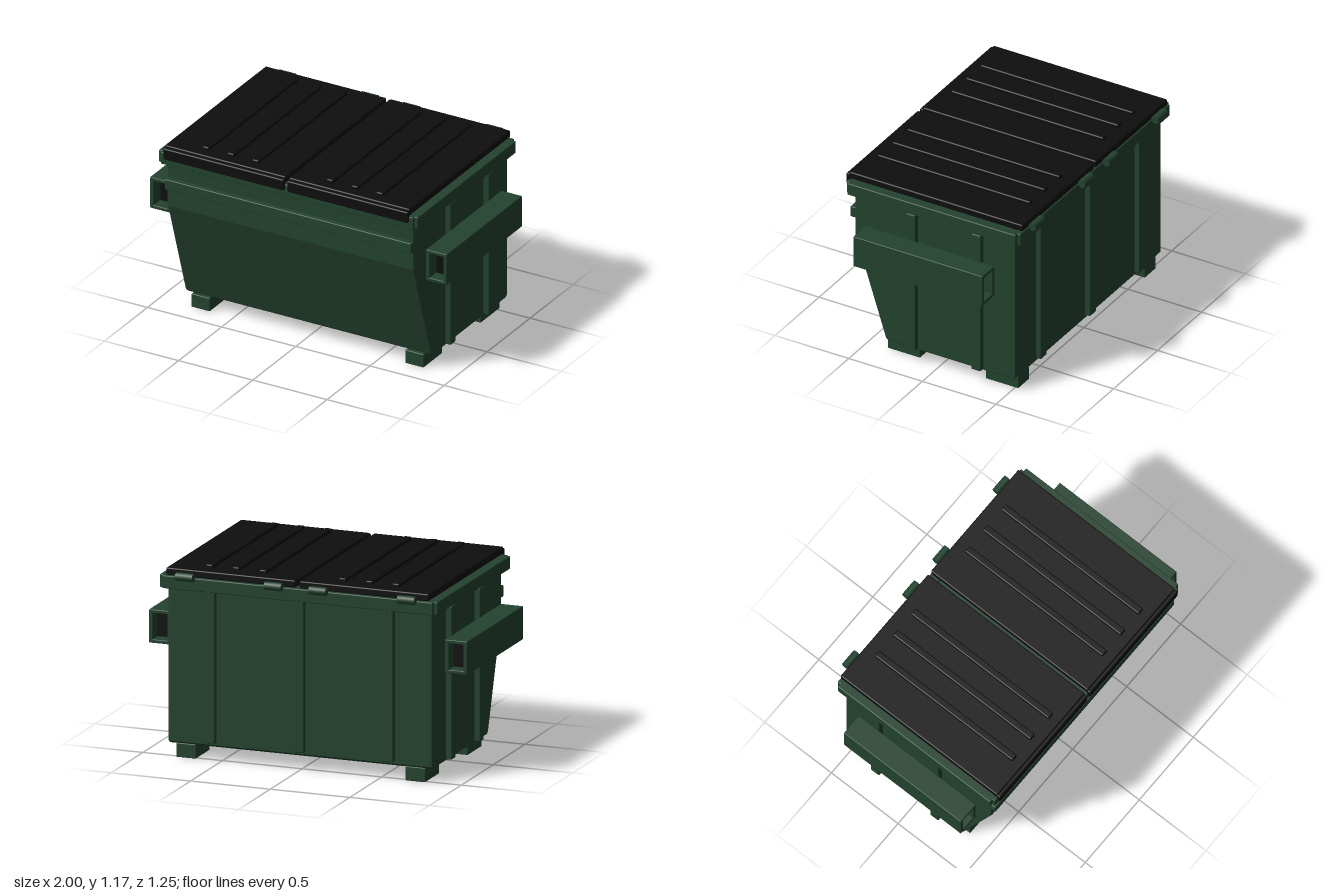
import * as THREE from 'three';
import { RoundedBoxGeometry } from 'three/addons/geometries/RoundedBoxGeometry.js';

export function createModel() {
  const green = new THREE.MeshStandardMaterial({ color: 0x23432f });
  green.name = 'green painted steel';
  const black = new THREE.MeshStandardMaterial({ color: 0x0e0e0e });
  black.name = 'black plastic';

  const model = new THREE.Group();
  model.name = 'wasteContainer';

  const add = (name, geometry, material, parent = model) => {
    const mesh = new THREE.Mesh(geometry, material);
    mesh.name = name;
    parent.add(mesh);
    return mesh;
  };
  // softly edged box given by its limits on each axis
  const box = (name, [x0, x1], [y0, y1], [z0, z1], material = green, radius = 0.006, parent = model) => {
    const geometry = new RoundedBoxGeometry(x1 - x0, y1 - y0, z1 - z0, 2, radius);
    geometry.translate((x0 + x1) / 2, (y0 + y1) / 2, (z0 + z1) / 2);
    return add(name, geometry, material, parent);
  };
  // limits on x, mirrored for the right-hand side
  const span = (side, a, b) => (side > 0 ? [a, b] : [-b, -a]);

  // body: side profile (z, y) with sloping front, extruded across x
  const profile = new THREE.Shape([
    [-0.53, 1.08], [-0.53, 0.1], [-0.515, 0.087], [0.335, 0.087],
    [0.352, 0.1], [0.56, 0.74], [0.56, 1.08],
  ].map(([z, y]) => new THREE.Vector2(z, y)));
  const bevel = 0.01;
  const bodyGeometry = new THREE.ExtrudeGeometry(profile, {
    depth: 1.66 - 2 * bevel, bevelThickness: bevel, bevelSize: bevel,
    bevelOffset: -bevel, bevelSegments: 2,
  });
  bodyGeometry.translate(0, 0, -0.83 + bevel);
  bodyGeometry.rotateY(-Math.PI / 2);
  add('body', bodyGeometry, green);

  // front reinforcing band
  box('frontBand', [-0.83, 0.83], [0.857, 0.926], [0.55, 0.592]);

  // rim bars around the top
  box('frontRim', [-0.85, 0.85], [1.028, 1.106], [0.54, 0.605]);
  box('backRim', [-0.85, 0.85], [1.028, 1.106], [-0.576, -0.51]);

  // upright ribs on the back wall
  for (const x of [-0.56, 0, 0.56]) {
    box('backRib', [x - 0.035, x + 0.035], [0.115, 1.03], [-0.563, -0.52]);
  }

  for (const s of [1, -1]) {
    box('sideRim', span(s, 0.81, 0.873), [1.028, 1.106], [-0.556, 0.587]);

    // upright ribs on the side walls
    for (const z of [0.161, -0.283]) {
      box('sideRib', span(s, 0.82, 0.866), [0.096, 1.021], [z - 0.031, z + 0.031]);
    }

    // feet
    for (const z of [[0.145, 0.365], [-0.522, -0.301]]) {
      box('foot', span(s, 0.658, 0.783), [0.003, 0.09], z);
    }

    // hollow fork pocket with a dark core set back from both ends
    const pocket = new THREE.Group();
    pocket.name = 'forkPocket';
    model.add(pocket);
    const length = [-0.407, 0.471];
    box('pocketTop', span(s, 0.86, 1), [0.823, 0.845], length, green, 0.005, pocket);
    box('pocketBottom', span(s, 0.86, 1), [0.643, 0.665], length, green, 0.005, pocket);
    box('pocketOuterWall', span(s, 0.976, 1), [0.643, 0.845], length, green, 0.005, pocket);
    box('pocketInnerWall', span(s, 0.86, 0.884), [0.643, 0.845], length, green, 0.005, pocket);
    box('pocketCore', span(s, 0.88, 0.98), [0.66, 0.828], [-0.327, 0.391], black, 0.001, pocket);

    // lid with turned-down lip and raised ribs
    const lid = new THREE.Group();
    lid.name = 'lid';
    model.add(lid);
    box('lidPanel', span(s, 0.012, 0.825), [1.111, 1.155], [-0.575, 0.602], black, 0.008, lid);
    box('lidLip', span(s, 0.012, 0.825), [1.07, 1.142], [0.595, 0.622], black, 0.008, lid);
    for (const x of [0.25, 0.418, 0.585]) {
      box('lidRib', span(s, x - 0.022, x + 0.022), [1.145, 1.176], [-0.495, 0.54], black, 0.008, lid);
    }

    // hinge barrels behind the lid
    for (const x of [0.14, 0.697]) {
      const barrel = new THREE.CylinderGeometry(0.025, 0.025, 0.107, 20);
      barrel.rotateZ(Math.PI / 2);
      add('hinge', barrel, green).position.set(s * x, 1.114, -0.598);
    }
  }

  return model;
}
